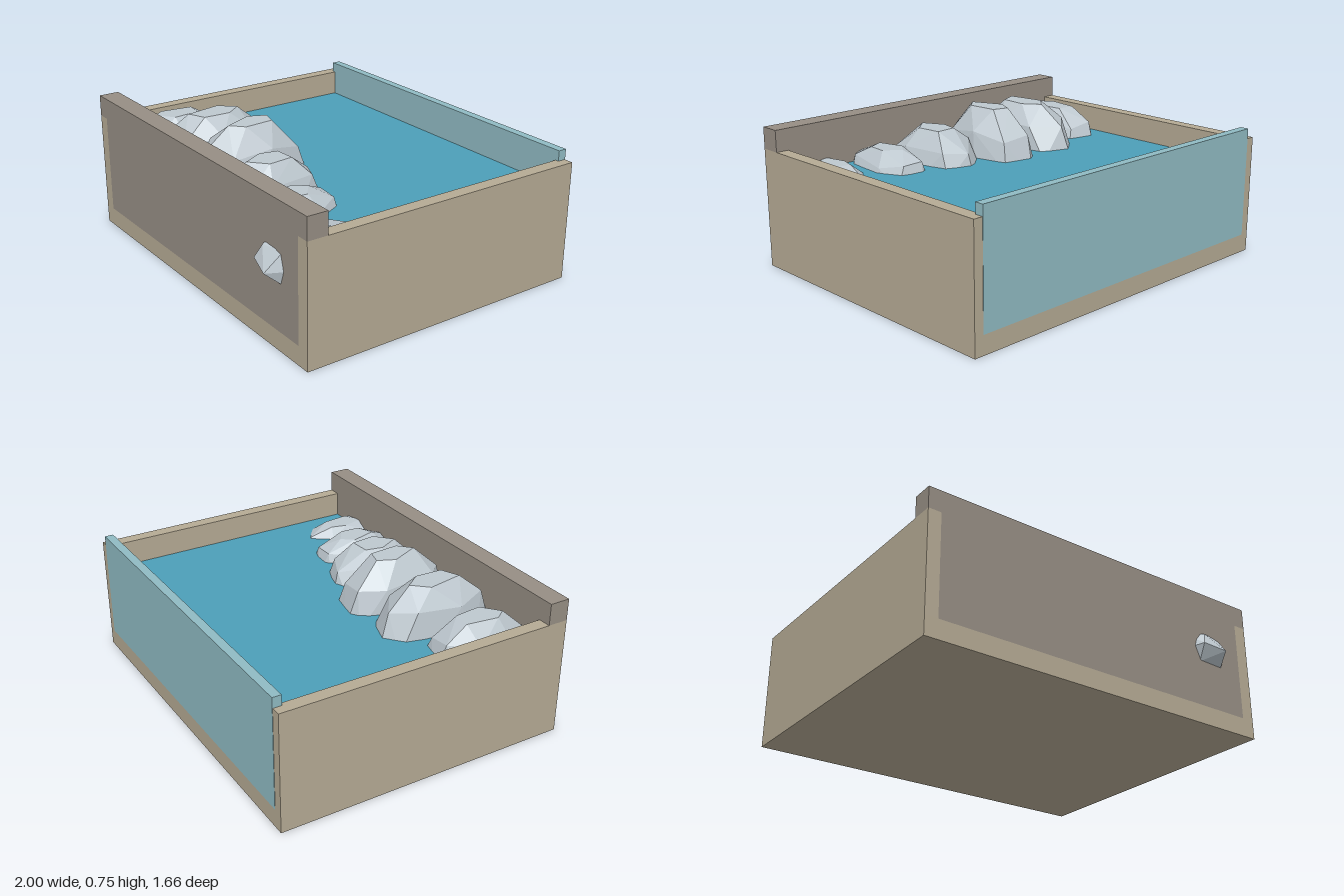
import * as THREE from 'three';
import { ConvexGeometry } from 'three/addons/geometries/ConvexGeometry.js';

function material(name, color) {
  const m = new THREE.MeshStandardMaterial({ color });
  m.name = name;
  return m;
}

// small seeded random source
function seeded(seed) {
  let s = seed * 7919 + 17;
  return () => {
    s = (s * 16807) % 2147483647;
    return s / 2147483647;
  };
}

// faceted boulder: convex hull of five slightly irregular rings
function boulderGeometry(rx, ry, rz, seed) {
  const rand = seeded(seed);
  rand();
  const rings = [
    [1, 0.42, 5], [0.62, 0.83, 7], [0, 1, 9], [-0.62, 0.83, 7], [-1, 0.42, 5],
  ];
  const soft = (v) => Math.sign(v) * Math.abs(v) ** 0.82;
  const points = [];
  for (const [h, r, n] of rings) {
    const turn = rand() * 0.5;
    for (let i = 0; i < n; i++) {
      const a = Math.PI / 2 + turn + (i + (rand() - 0.5) * 0.4) * Math.PI * 2 / n;
      const k = r * (0.95 + rand() * 0.08);
      const y = Math.abs(h) === 1 ? h : h + (rand() - 0.5) * 0.22;
      points.push(new THREE.Vector3(soft(Math.cos(a)) * k * rx, y * ry, soft(Math.sin(a)) * k * rz));
    }
  }
  return new ConvexGeometry(points);
}

export function createModel() {
  const model = new THREE.Group();
  model.name = 'rockPool';

  const sand = material('sandstone', 0xb5aa94);
  const stone = material('greyStone', 0x968e84);
  const glass = material('paleGlass', 0x90bbc3);
  const water = material('waterBlue', 0x4d9fb8);
  const rock = material('lightRock', 0xbec8cf);

  // box given by its minimum and maximum corners
  function box(name, mat, min, max) {
    const size = max.map((v, i) => v - min[i]);
    const mesh = new THREE.Mesh(new THREE.BoxGeometry(...size), mat);
    mesh.position.set(...max.map((v, i) => (v + min[i]) / 2));
    mesh.name = name;
    model.add(mesh);
  }

  // tray
  box('base', sand, [-1, 0, -0.83], [1, 0.1, 0.76]);
  box('rightWall', sand, [-1, 0.1, -0.83], [-0.93, 0.635, 0.76]);
  box('leftWall', sand, [0.93, 0.1, -0.83], [1, 0.635, 0.76]);

  // taller front wall with a full-width cap
  box('frontWall', stone, [-0.93, 0.1, 0.65], [0.93, 0.635, 0.76]);
  box('frontWallCap', stone, [-1, 0.635, 0.65], [1, 0.75, 0.76]);

  // back pane and water
  box('backPane', glass, [-0.95, 0.1, -0.832], [0.95, 0.69, -0.785]);
  box('water', water, [-0.93, 0.1, -0.785], [0.93, 0.5, 0.65]);

  // row of boulders: centre x, y, z and radii x, y, z
  const boulders = [
    [-0.765, 0.42, 0.41, 0.175, 0.23, 0.3],
    [-0.46, 0.43, 0.35, 0.18, 0.3, 0.34],
    [-0.15, 0.43, 0.32, 0.18, 0.325, 0.32],
    [0.16, 0.43, 0.41, 0.185, 0.24, 0.3],
    [0.44, 0.42, 0.46, 0.17, 0.18, 0.26],
    [0.725, 0.42, 0.56, 0.15, 0.13, 0.27],
  ];
  boulders.forEach(([x, y, z, rx, ry, rz], i) => {
    const mesh = new THREE.Mesh(boulderGeometry(rx, ry, rz, i + 3), rock);
    mesh.position.set(x, y, z);
    mesh.name = `boulder${i + 1}`;
    model.add(mesh);
  });

  return model;
}
